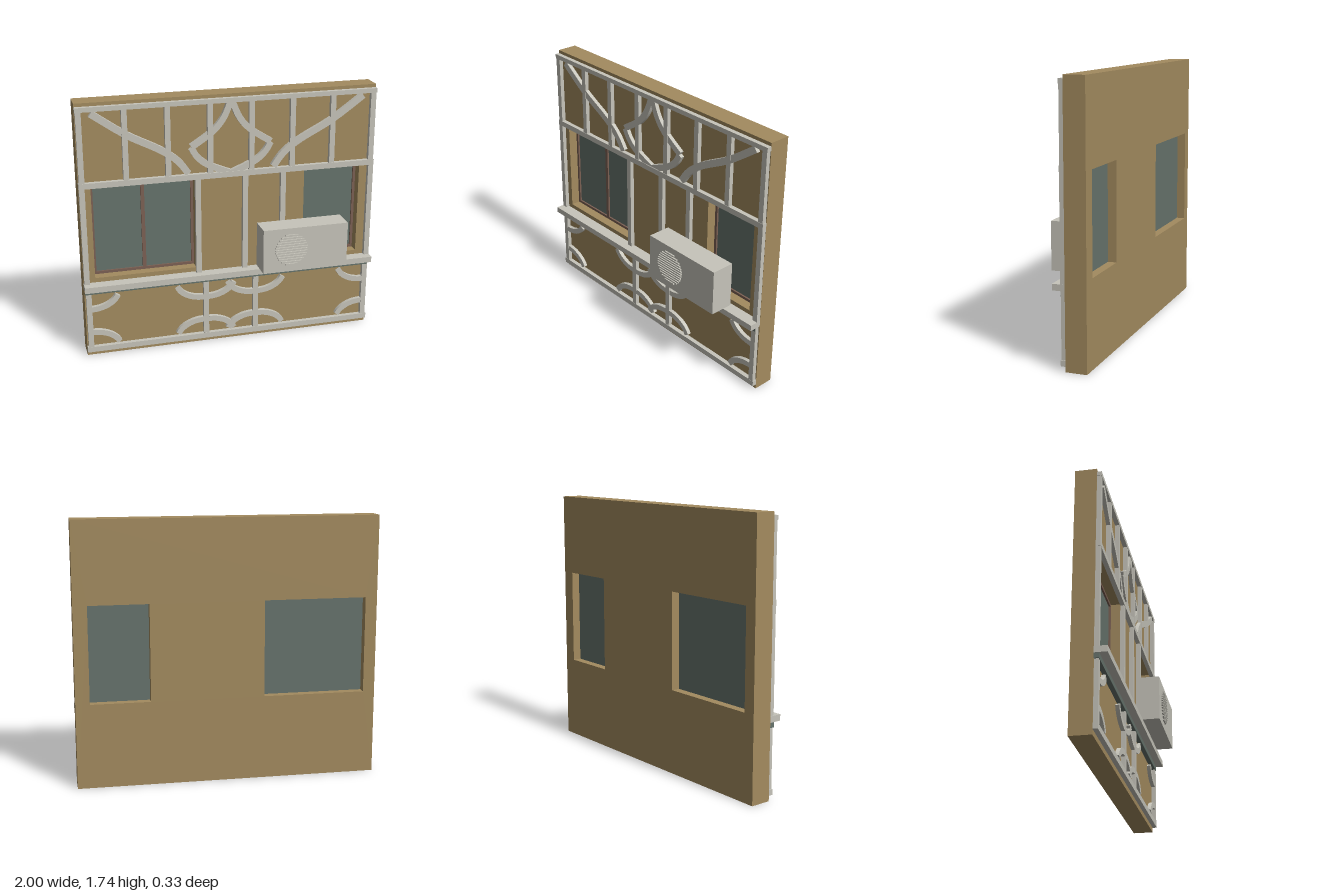
import * as THREE from 'three';

const mat = (name, color) => {
  const m = new THREE.MeshStandardMaterial({ color });
  m.name = name;
  return m;
};

export function createModel() {
  const plaster = mat('ochre plaster', 0xa38b5f);
  const timber = mat('pale timber', 0xc6c4ba);
  const glass = mat('grey green glass', 0x66736c);
  const frame = mat('brown frame', 0x7b6053);

  const model = new THREE.Group();
  model.name = 'timberedWall';
  const WALL_FRONT = -0.03, WALL_BACK = -0.167;

  const add = (name, geometry, material) => {
    const mesh = new THREE.Mesh(geometry, material);
    mesh.name = name;
    model.add(mesh);
    return mesh;
  };
  // Box given by its limits on each axis
  const box = (name, material, x0, x1, y0, y1, z0, z1) =>
    add(name, new THREE.BoxGeometry(x1 - x0, y1 - y0, z1 - z0), material)
      .position.set((x0 + x1) / 2, (y0 + y1) / 2, (z0 + z1) / 2);
  const rect = (path, x0, x1, y0, y1) => {
    path.moveTo(x0, y0);
    path.lineTo(x1, y0);
    path.lineTo(x1, y1);
    path.lineTo(x0, y1);
    path.closePath();
    return path;
  };

  // Wall with two window openings
  const windows = [
    { x0: -0.92, x1: -0.24, y0: 0.56, y1: 1.2, mullions: [-0.578] },
    { x0: 0.51, x1: 0.903, y0: 0.56, y1: 1.2, mullions: [] },
  ];
  const wallShape = rect(new THREE.Shape(), -0.998, 0.995, 0, 1.74);
  for (const w of windows) wallShape.holes.push(rect(new THREE.Path(), w.x0, w.x1, w.y0, w.y1));
  const wallGeo = new THREE.ExtrudeGeometry(wallShape, { depth: WALL_FRONT - WALL_BACK, bevelEnabled: false });
  wallGeo.translate(0, 0, WALL_BACK);
  add('wall', wallGeo, plaster);

  // Glass and frames, set halfway into the openings
  for (const w of windows) {
    box('windowGlass', glass, w.x0, w.x1, w.y0, w.y1, -0.11, -0.105);
    const f = 0.018, z0 = -0.105, z1 = -0.093;
    box('windowFrameLeft', frame, w.x0, w.x0 + f, w.y0, w.y1, z0, z1);
    box('windowFrameRight', frame, w.x1 - f, w.x1, w.y0, w.y1, z0, z1);
    box('windowFrameBottom', frame, w.x0 + f, w.x1 - f, w.y0, w.y0 + f, z0, z1);
    box('windowFrameTop', frame, w.x0 + f, w.x1 - f, w.y1 - f, w.y1, z0, z1);
    for (const x of w.mullions)
      box('windowMullion', frame, x - 0.012, x + 0.012, w.y0 + f, w.y1 - f, z0, z1);
  }

  // Horizontal beams, projecting sill and the dark strip under it
  for (const [y0, y1] of [[0.033, 0.07], [1.19, 1.227], [1.688, 1.718]])
    box('beam', timber, -0.998, 0.995, y0, y1, WALL_FRONT, 0);
  box('sill', timber, -1, 0.995, 0.49, 0.53, WALL_FRONT, 0.05);
  box('sillStrip', glass, -0.997, 0.985, 0.457, 0.49, WALL_FRONT, 0.001);

  // Vertical posts in each of the three tiers
  const posts = (name, xs, y0, y1) => {
    for (const x of xs)
      box(name, timber, x - 0.018, x + 0.018, y0, y1, WALL_FRONT, -0.002);
  };
  posts('upperPost', [-0.976, -0.692, -0.418, -0.14, 0.137, 0.415, 0.692, 0.972], 1.227, 1.688);
  posts('middlePost', [-0.978, -0.225, 0.095, 0.356, 0.976], 0.53, 1.19);
  posts('lowerPost', [-0.972, -0.178, 0.171, 0.97], 0.07, 0.49);

  // Curved brace: a band of even width along a centre line
  const brace = (name, points, width, sx = 1) => {
    const curve = new THREE.SplineCurve(points.map(([x, y]) => new THREE.Vector2(x * sx, y)));
    const left = [], right = [];
    const n = 16;
    for (let i = 0; i <= n; i++) {
      const p = curve.getPoint(i / n), t = curve.getTangent(i / n);
      const side = new THREE.Vector2(-t.y, t.x).multiplyScalar(width / 2);
      left.push(p.clone().add(side));
      right.unshift(p.clone().sub(side));
    }
    const geo = new THREE.ExtrudeGeometry(new THREE.Shape([...left, ...right]), { depth: 0.026, bevelEnabled: false });
    geo.translate(0, 0, WALL_FRONT);
    add(name, geo, timber);
  };

  // Upper tier: long swept braces and the central pointed ornament
  for (const s of [1, -1]) {
    brace('sweptBrace', [[0.9, 1.675], [0.685, 1.525], [0.47, 1.41], [0.355, 1.325], [0.287, 1.235]], 0.045, s);
    brace('ornamentTop', [[0.008, 1.69], [0.055, 1.585], [0.13, 1.5], [0.265, 1.41]], 0.042, s);
    brace('ornamentBottom', [[0.265, 1.405], [0.225, 1.34], [0.15, 1.28], [0, 1.215]], 0.042, s);
  }

  // Lower tier: quarter arcs springing from the posts, mirrored top to bottom
  const arcs = [[-0.957, 1], [-0.195, -1], [-0.16, 1], [0.155, -1], [0.187, 1], [0.953, -1]];
  for (const [x, dir] of arcs) {
    for (const up of [1, -1]) {
      const points = [];
      for (let i = 0; i <= 6; i++) {
        const a = (i / 6) * 1.27;
        points.push([x + dir * 0.186 * Math.sin(a), 0.26 + up * (0.21 - 0.126 * Math.cos(a))]);
      }
      brace('quarterArc', points, 0.038);
    }
  }

  // Outdoor unit with a round grille of horizontal slats
  box('unitCase', timber, 0.175, 0.765, 0.543, 0.85, 0, 0.157);
  const slats = 13, radius = 0.112;
  for (let i = 0; i < slats; i++) {
    const dy = ((i + 0.5) / slats * 2 - 1) * radius;
    const half = Math.sqrt(radius * radius - dy * dy);
    box('grilleSlat', timber, 0.37 - half, 0.37 + half, 0.698 + dy - 0.005, 0.698 + dy + 0.005, 0.157, 0.167);
  }

  return model;
}
